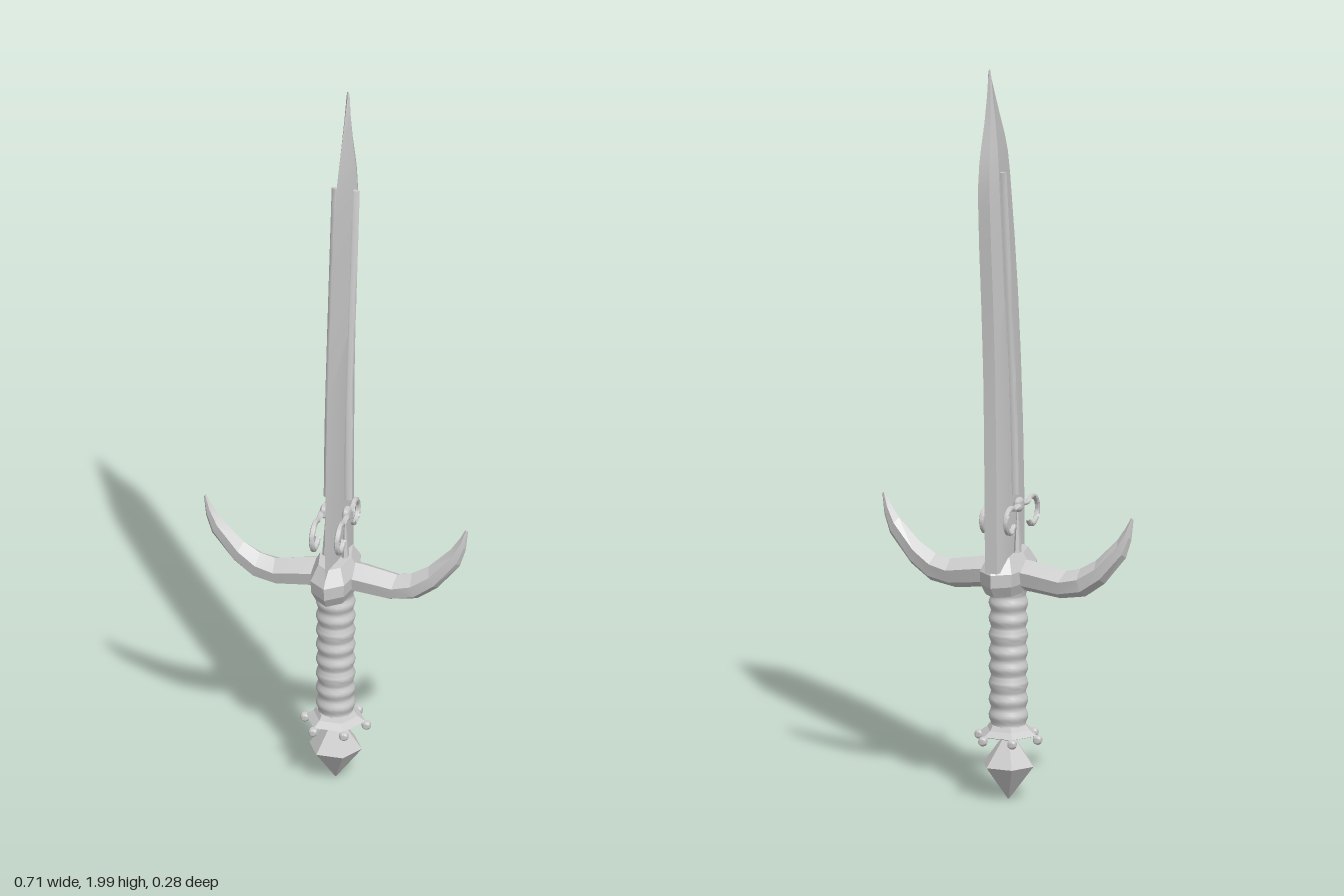
import * as THREE from 'three';
import { toCreasedNormals } from 'three/addons/utils/BufferGeometryUtils.js';

const steel = new THREE.MeshStandardMaterial({ color: 0xcccccc });
steel.name = 'steel';
const CZ = 0.02; // handle axis
const V = (x, y, z) => new THREE.Vector3(x, y, z);

// Closed solid through a list of rings, each a loop of points
function loft(rings) {
  const n = rings[0].length, pos = [], idx = [];
  rings.forEach(r => r.forEach(p => pos.push(p.x, p.y, p.z)));
  for (let i = 0; i < rings.length - 1; i++)
    for (let j = 0; j < n; j++) {
      const a = i * n + j, b = i * n + (j + 1) % n;
      idx.push(a, b, b + n, a, b + n, a + n);
    }
  const last = (rings.length - 1) * n;
  for (let j = 1; j < n - 1; j++)
    idx.push(0, j + 1, j, last, last + j, last + j + 1);
  // keep faces outward whichever way the rings run
  const at = k => V(pos[3 * k], pos[3 * k + 1], pos[3 * k + 2]);
  let vol = 0;
  for (let i = 0; i < idx.length; i += 3)
    vol += at(idx[i]).dot(at(idx[i + 1]).cross(at(idx[i + 2])));
  if (vol < 0) idx.reverse();
  const g = new THREE.BufferGeometry();
  g.setAttribute('position', new THREE.Float32BufferAttribute(pos, 3));
  g.setIndex(idx);
  return g;
}

// Horizontal elliptical ring round the handle axis
function ring(y, rx, rz, sides, turn = 0) {
  return Array.from({ length: sides }, (_, i) => {
    const a = turn + i / sides * Math.PI * 2;
    return V(Math.cos(a) * rx, y, CZ + Math.sin(a) * rz);
  });
}

export function createModel() {
  const group = new THREE.Group();
  const add = (name, geo, crease = 0.4) => {
    const mesh = new THREE.Mesh(toCreasedNormals(geo, crease), steel);
    mesh.name = name;
    group.add(mesh);
    return mesh;
  };

  // Blade: [height, cutting edge z, back z, thickness]
  const blade = [
    [0.64, 0.127, -0.095, 1], [0.80, 0.125, -0.098, 1], [1.0, 0.116, -0.101, 1],
    [1.18, 0.102, -0.107, 1], [1.36, 0.083, -0.119, 1], [1.52, 0.06, -0.133, 1],
    [1.62, 0.043, -0.140, 0.98], [1.69, 0.031, -0.143, 0.95], [1.755, 0.016, -0.138, 0.85],
    [1.80, -0.002, -0.130, 0.72], [1.86, -0.034, -0.118, 0.5], [1.93, -0.07, -0.110, 0.28],
    [1.985, -0.097, -0.106, 0.16], [2.0, -0.101, -0.104, 0.08],
  ];
  add('blade', loft(blade.map(([y, e, b, t]) => {
    const m = b + (e - b) * 0.24;
    return [V(0, y, e), V(0.028 * t, y, m), V(0.017 * t, y, b),
      V(-0.017 * t, y, b), V(-0.028 * t, y, m)];
  })));

  // Raised rib and curled ornament on each face of the blade
  const ribPath = new THREE.CatmullRomCurve3([V(0, 0.835, 0), V(0, 1.05, -0.01),
    V(0, 1.29, -0.033), V(0, 1.52, -0.058), V(0, 1.72, -0.08)]);
  const curl = (cz, cy, r, dir) => {
    const pts = [V(0, 0.805, CZ)];
    for (let i = 0; i <= 14; i++) {
      const a = Math.PI * (0.3 + i / 14 * 1.55), k = r * (1 - 0.35 * i / 14);
      pts.push(V(0, cy + Math.sin(a) * k, cz + dir * -Math.cos(a) * k));
    }
    return new THREE.CatmullRomCurve3(pts);
  };
  for (const s of [1, -1]) {
    const side = s > 0 ? 'left' : 'right';
    const rings = [];
    for (let i = 0; i <= 16; i++) {
      const t = i / 16, p = ribPath.getPoint(t);
      const w = 0.003 + 0.009 * Math.sqrt(Math.sin(Math.PI * Math.min(1, 0.06 + t * 0.92)));
      rings.push(Array.from({ length: 8 }, (_, j) => {
        const a = j / 8 * Math.PI * 2;
        return V(s * (0.025 + Math.cos(a) * 0.013), p.y, p.z + Math.sin(a) * w);
      }));
    }
    add(side + 'Rib', loft(rings), 0.9);

    for (const [name, path] of [['FrontCurl', curl(0.096, 0.766, 0.044, 1)],
      ['BackCurl', curl(-0.045, 0.77, 0.038, -1)]]) {
      add(side + name, new THREE.TubeGeometry(path, 32, 0.0075, 6), 1.1).position.x = s * 0.034;
    }
    const boss = add(side + 'CurlBoss', new THREE.SphereGeometry(0.02, 10, 8), 1);
    boss.scale.set(0.6, 1, 1.2);
    boss.position.set(s * 0.03, 0.803, CZ);
    const stem = add(side + 'CurlStem', new THREE.ConeGeometry(0.018, 0.15, 6));
    stem.scale.x = 0.6;
    stem.position.set(s * 0.026, 0.735, CZ);
  }

  // Faceted guard block
  add('guardBlock', loft([
    ring(0.57, 0.05, 0.095, 8), ring(0.60, 0.062, 0.117, 8),
    ring(0.635, 0.064, 0.12, 8), ring(0.675, 0.042, 0.088, 8),
  ]), 0.2);

  // Upswept guard arms: [upper x, upper y, lower x, lower y, half depth]
  const arm = [
    [0.03, 0.66, 0.03, 0.575, 0.048], [0.075, 0.655, 0.07, 0.572, 0.047],
    [0.165, 0.638, 0.15, 0.563, 0.042], [0.205, 0.648, 0.22, 0.575, 0.037],
    [0.25, 0.675, 0.275, 0.615, 0.029], [0.31, 0.735, 0.335, 0.69, 0.017],
    [0.335, 0.772, 0.351, 0.74, 0.01], [0.35, 0.80, 0.357, 0.796, 0.003],
  ];
  for (const s of [1, -1]) {
    add(s > 0 ? 'leftGuardArm' : 'rightGuardArm', loft(arm.map(([ux, uy, lx, ly, d]) => {
      const at = (t, z) => V(s * (ux + (lx - ux) * t), uy + (ly - uy) * t, CZ - 0.003 + z);
      return [at(0, 0), at(0.3, d), at(0.75, d * 0.8), at(1, 0), at(0.75, -d * 0.8), at(0.3, -d)];
    })), 0.15);
  }

  // Grip with shallow rings
  const grip = [new THREE.Vector2(0, 0.19)];
  for (let i = 0; i <= 60; i++) {
    const t = i / 60;
    grip.push(new THREE.Vector2(0.049 + 0.003 * Math.cos(t * Math.PI * 18), 0.19 + t * 0.39));
  }
  grip.push(new THREE.Vector2(0, 0.58));
  add('grip', new THREE.LatheGeometry(grip, 20), 0.9).position.z = CZ;

  // Flared collar with six beads
  add('collar', loft([
    ring(0.178, 0.06, 0.06, 6), ring(0.184, 0.08, 0.08, 6),
    ring(0.198, 0.06, 0.06, 6), ring(0.21, 0.052, 0.052, 6),
  ]), 0.2);
  for (let i = 0; i < 6; i++) {
    const a = i / 6 * Math.PI * 2;
    add('collarBead', new THREE.SphereGeometry(0.013, 10, 8), 1)
      .position.set(Math.cos(a) * 0.083, 0.174, CZ + Math.sin(a) * 0.083);
  }

  // Six-sided gem pommel
  add('pommel', loft([
    ring(0.008, 0.002, 0.002, 6), ring(0.1, 0.071, 0.071, 6), ring(0.185, 0.008, 0.008, 6),
  ]), 0.2);

  return group;
}
